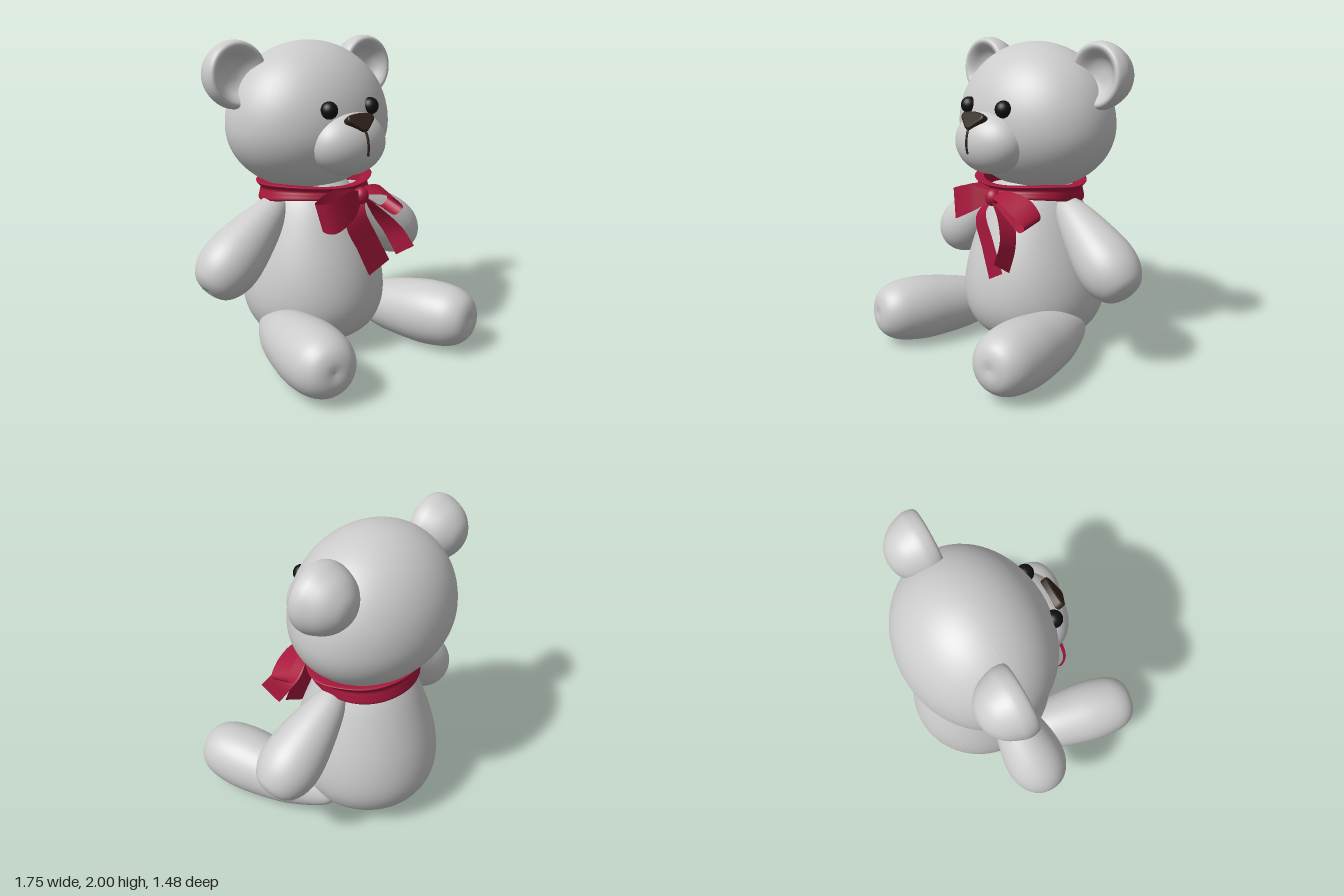
import * as THREE from 'three';

const grey = new THREE.MeshStandardMaterial({ color: 0xcccccc });
const red = new THREE.MeshStandardMaterial({ color: 0xa8183c, side: THREE.DoubleSide });
const black = new THREE.MeshStandardMaterial({ color: 0x101010 });
const brown = new THREE.MeshStandardMaterial({ color: 0x30241a });

function add(parent, name, geometry, material, x = 0, y = 0, z = 0) {
  const mesh = new THREE.Mesh(geometry, material);
  mesh.name = name;
  mesh.position.set(x, y, z);
  parent.add(mesh);
  return mesh;
}

// Smooth turned solid from a few [radius, height] points
function turned(points, segments = 48) {
  const curve = new THREE.SplineCurve(points.map(p => new THREE.Vector2(...p)));
  const profile = curve.getPoints(40);
  profile.forEach(p => { p.x = Math.max(p.x, 0); });
  return new THREE.LatheGeometry(profile, segments);
}

// Ribbon stretched between two smooth edge curves
function ribbon(edgeA, edgeB, n = 32) {
  const curves = [edgeA, edgeB].map(e => new THREE.CatmullRomCurve3(e.map(p => new THREE.Vector3(...p))));
  const positions = [], index = [];
  for (let i = 0; i <= n; i++) {
    for (const c of curves) positions.push(...c.getPoint(i / n).toArray());
    if (i < n) {
      const a = i * 2;
      index.push(a, a + 2, a + 1, a + 1, a + 2, a + 3);
    }
  }
  const g = new THREE.BufferGeometry();
  g.setAttribute('position', new THREE.Float32BufferAttribute(positions, 3));
  g.setIndex(index);
  g.computeVertexNormals();
  return g;
}

// Turned limb running from start along a direction
function limb(parent, name, points, start, direction) {
  const mesh = add(parent, name, turned(points), grey, ...start);
  mesh.quaternion.setFromUnitVectors(new THREE.Vector3(0, 1, 0), new THREE.Vector3(...direction).normalize());
}

export function createModel() {
  const model = new THREE.Group();
  model.name = 'teddyBear';

  // The bear is symmetric, then turned a little to its right
  const bear = new THREE.Group();
  bear.name = 'bear';
  bear.position.set(-0.015, 0, -0.27);
  bear.rotation.y = -0.18;
  model.add(bear);

  // Pear-shaped body
  const body = add(bear, 'body', turned([[0, 0.04], [0.24, 0.05], [0.37, 0.12], [0.44, 0.23], [0.464, 0.37],
    [0.44, 0.56], [0.37, 0.79], [0.28, 1.0], [0.17, 1.13], [0, 1.18]], 64), grey, 0.015, 0, 0.015);
  body.scale.z = 1.04;

  // Head, taller above its widest line than below
  const headGeometry = new THREE.SphereGeometry(1, 64, 48);
  const hp = headGeometry.attributes.position;
  for (let i = 0; i < hp.count; i++) {
    const y = hp.getY(i);
    hp.setXYZ(i, hp.getX(i) * 0.555, y * (y > 0 ? 0.52 : 0.42), hp.getZ(i) * 0.457);
  }
  headGeometry.computeVertexNormals();
  add(bear, 'head', headGeometry, grey, 0, 1.46, 0);

  // Muzzle
  const muzzle = add(bear, 'muzzle', new THREE.SphereGeometry(1, 48, 32), grey, 0, 1.38, 0.39);
  muzzle.scale.set(0.26, 0.2, 0.19);

  // Nose: rounded triangle, with a seam below
  const tri = new THREE.Shape();
  tri.moveTo(-0.075, 0.04);
  tri.quadraticCurveTo(0, 0.055, 0.075, 0.04);
  tri.quadraticCurveTo(0.1, 0.03, 0.075, 0.01);
  tri.lineTo(0.015, -0.04);
  tri.quadraticCurveTo(0, -0.05, -0.015, -0.04);
  tri.lineTo(-0.075, 0.01);
  tri.quadraticCurveTo(-0.1, 0.03, -0.075, 0.04);
  const noseGeometry = new THREE.ExtrudeGeometry(tri, {
    depth: 0.03, bevelEnabled: true, bevelSize: 0.014, bevelThickness: 0.014, bevelSegments: 4, curveSegments: 8,
  });
  const nose = add(bear, 'nose', noseGeometry, brown, -0.012, 1.505, 0.51);
  nose.rotation.x = -0.6;
  const seam = new THREE.CatmullRomCurve3([[-0.01, 1.48, 0.558], [-0.005, 1.44, 0.573], [-0.003, 1.38, 0.581], [0, 1.325, 0.574]]
    .map(p => new THREE.Vector3(...p)));
  add(bear, 'mouthSeam', new THREE.TubeGeometry(seam, 16, 0.008, 8), brown);

  const earProfile = [[0, -0.27], [0.08, -0.252], [0.155, -0.19], [0.198, -0.1], [0.204, -0.05], [0.194, -0.01],
    [0.172, 0], [0.145, -0.018], [0.1, -0.065], [0.05, -0.088], [0, -0.092]];
  const armProfile = [[0, 0], [0.055, 0.015], [0.105, 0.11], [0.157, 0.3], [0.19, 0.49], [0.18, 0.62],
    [0.13, 0.715], [0.06, 0.752], [0, 0.75]];
  const legProfile = [[0, 0], [0.05, 0.02], [0.105, 0.12], [0.17, 0.32], [0.202, 0.53], [0.212, 0.7],
    [0.192, 0.86], [0.14, 0.95], [0.07, 0.983], [0, 0.978]];

  for (const [side, s] of [['left', 1], ['right', -1]]) {
    // Eye
    add(bear, side + 'Eye', new THREE.SphereGeometry(0.053, 24, 16), black, s * 0.161 - 0.008, 1.595, 0.42);
    // Hollow ear opening forwards
    const ear = add(bear, side + 'Ear', turned(earProfile).rotateX(Math.PI / 2), grey, s * 0.507 - 0.006, 1.793, 0.022);
    ear.rotation.x = -0.05;
    // Arm and leg
    limb(bear, side + 'Arm', armProfile, [s * 0.25 + 0.015, 1.0, 0.025], [s * 0.45, -0.365, 0.03]);
    limb(bear, side + 'Leg', legProfile, [s * 0.36 + 0.025, 0.168, -0.04], [s * 0.15, 0.045, 0.71]);
  }

  // Neck band, narrower towards the front and pulled out at the model's left
  const bandGeometry = turned([[0.315, 0.965], [0.355, 0.98], [0.35, 1.03], [0.345, 1.07], [0.37, 1.115], [0.31, 1.115]], 64);
  const bp = bandGeometry.attributes.position;
  for (let i = 0; i < bp.count; i++) {
    const a = Math.atan2(bp.getZ(i), bp.getX(i));
    const low = (1.115 - bp.getY(i)) / 0.15;
    const flare = 1.02 + 0.12 * (1 - low) * Math.max(0, Math.cos(a - 0.15)) ** 10;
    const lift = 0.035 * low * (Math.sin(a) + 1) + 0.008 * Math.sin(a * 3);
    bp.setXYZ(i, bp.getX(i) * flare, bp.getY(i) + lift, bp.getZ(i) * 0.96);
  }
  bandGeometry.computeVertexNormals();
  add(bear, 'neckBand', bandGeometry, red, 0, 0, 0.05);

  // Bow: two loops, two tails and a knot
  const bow = new THREE.Group();
  bow.name = 'bow';
  model.add(bow);
  add(bow, 'rightLoop', ribbon(
    [[-0.03, 1.08, 0.17], [-0.18, 1.11, 0.21], [-0.35, 1.06, 0.17], [-0.375, 1.05, 0.1], [-0.2, 1.1, 0.09], [-0.03, 1.08, 0.14]],
    [[-0.03, 1.02, 0.18], [-0.16, 0.94, 0.23], [-0.31, 0.87, 0.2], [-0.33, 0.88, 0.12], [-0.2, 0.98, 0.11], [-0.03, 1.02, 0.15]]), red);
  add(bow, 'leftLoop', ribbon(
    [[-0.02, 1.06, 0.21], [0.1, 1.04, 0.26], [0.22, 0.98, 0.28], [0.29, 0.92, 0.27], [0.24, 0.88, 0.25], [0.12, 0.95, 0.23], [-0.02, 1.03, 0.19]],
    [[-0.02, 1.08, 0.15], [0.1, 1.09, 0.14], [0.24, 1.05, 0.13], [0.31, 0.96, 0.13], [0.26, 0.92, 0.12], [0.12, 0.99, 0.12], [-0.02, 1.04, 0.14]]), red);
  add(bow, 'frontTail', ribbon(
    [[-0.06, 1.04, 0.17], [-0.165, 0.89, 0.17], [-0.09, 0.71, 0.2], [-0.01, 0.53, 0.23]],
    [[0, 1.04, 0.19], [-0.04, 0.96, 0.22], [0.04, 0.79, 0.25], [0.135, 0.61, 0.28]]), red);
  add(bow, 'sideTail', ribbon(
    [[-0.02, 1.04, 0.2], [0.08, 0.95, 0.26], [0.17, 0.83, 0.35], [0.19, 0.72, 0.43]],
    [[0.02, 1.02, 0.16], [0.13, 0.88, 0.15], [0.18, 0.76, 0.21], [0.195, 0.63, 0.29]]), red);
  const knot = add(bow, 'knot', new THREE.SphereGeometry(1, 24, 16), red, -0.025, 1.045, 0.17);
  knot.scale.set(0.05, 0.055, 0.05);

  return model;
}
